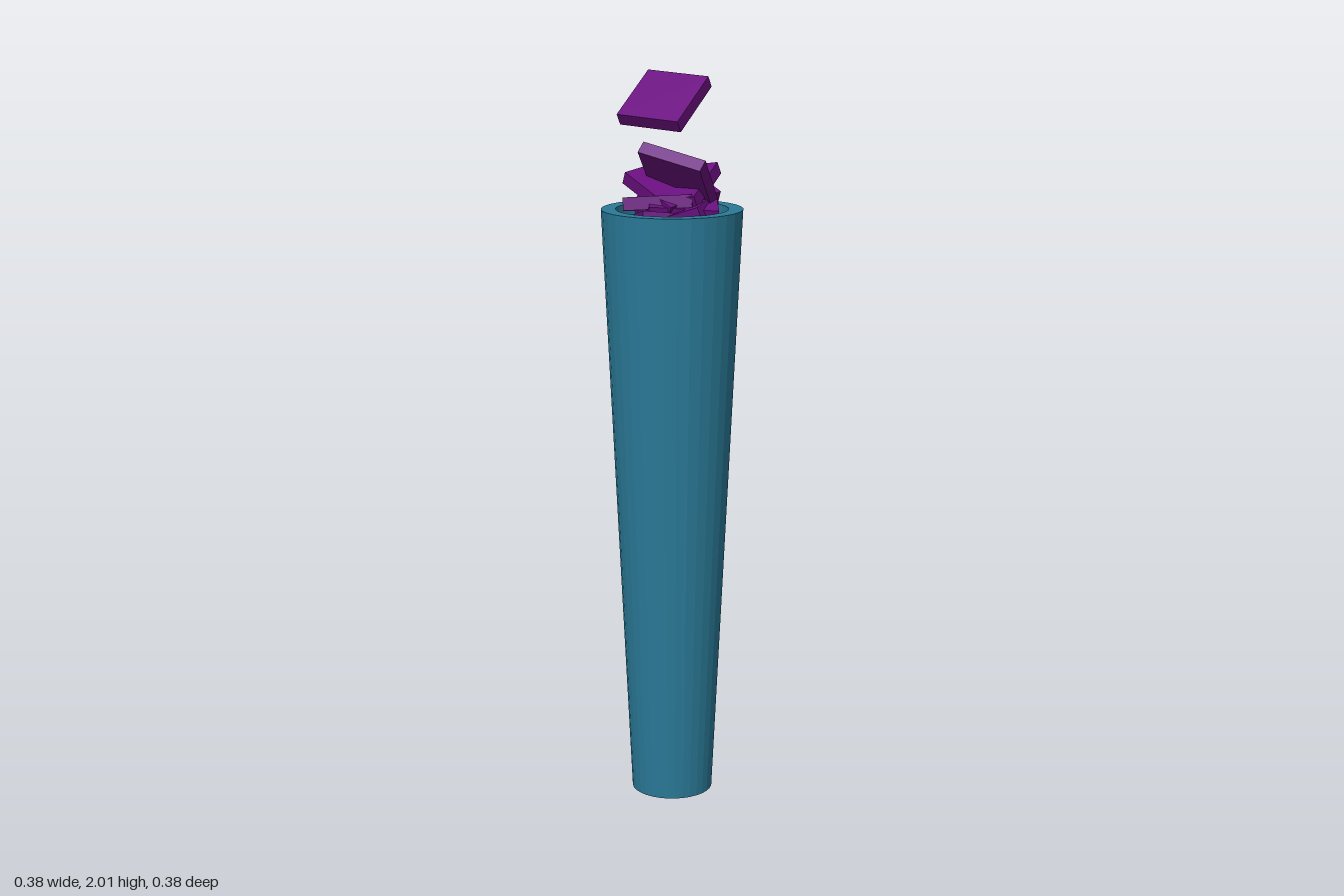
import * as THREE from 'three';

export function createModel() {
  const model = new THREE.Group();
  model.name = 'cupOfChips';
  const cupMaterial = new THREE.MeshStandardMaterial({ color: 0x2a7a98, flatShading: true });
  const chipMaterial = new THREE.MeshStandardMaterial({ color: 0x6a1080, flatShading: true });

  // Tall tapered cup: base, outer wall, flat rim, inner wall, inner floor
  const profile = [
    [0, 0], [0.112, 0], [0.191, 1.645], [0.152, 1.645], [0.125, 1.1], [0, 1.1],
  ].map(([r, y]) => new THREE.Vector2(r, y));
  const cup = new THREE.Mesh(new THREE.LatheGeometry(profile, 32), cupMaterial);
  cup.name = 'cup';
  model.add(cup);

  // Square chips share one thin slab
  const slab = new THREE.BoxGeometry(0.185, 0.035, 0.185);
  const addChip = (name, [x, y, z], [rx, ry, rz]) => {
    const chip = new THREE.Mesh(slab, chipMaterial);
    chip.name = name;
    chip.position.set(x, y, z);
    chip.rotation.set(rx, ry, rz);
    model.add(chip);
  };

  // Chip hovering above the pile
  addChip('floatingChip', [-0.005, 1.935, 0.033], [0.61, -0.04, -0.04]);

  // Loose chips heaped over the rim: position, rotation
  [
    [[0.03, 1.737, 0.02], [-0.72, 0.2, -0.12]],
    [[0.0, 1.697, -0.025], [0.4, 0.12, 0.12]],
    [[-0.01, 1.7, -0.015], [0.15, -0.3, -0.4]],
    [[0.025, 1.66, -0.01], [0.25, 0.55, -0.2]],
    [[-0.025, 1.66, 0.005], [-0.15, 0.35, 0.12]],
    [[0.02, 1.63, 0.01], [0.1, 0.25, 0.3]],
    [[0.0, 1.61, 0.02], [-0.3, 0.75, 0.1]],
  ].forEach(([p, r], i) => addChip(`heapChip${i + 1}`, p, r));

  // Chips stacked inside the cup, each turned a little further
  for (let i = 0; i < 11; i++) {
    addChip(`stackedChip${i + 1}`,
      [0.012 * Math.sin(i * 2.1), 1.15 + i * 0.041, 0.012 * Math.cos(i * 1.7)],
      [0.12 * Math.sin(i * 1.3), i * 0.9, 0.12 * Math.cos(i * 2.3)]);
  }
  return model;
}
